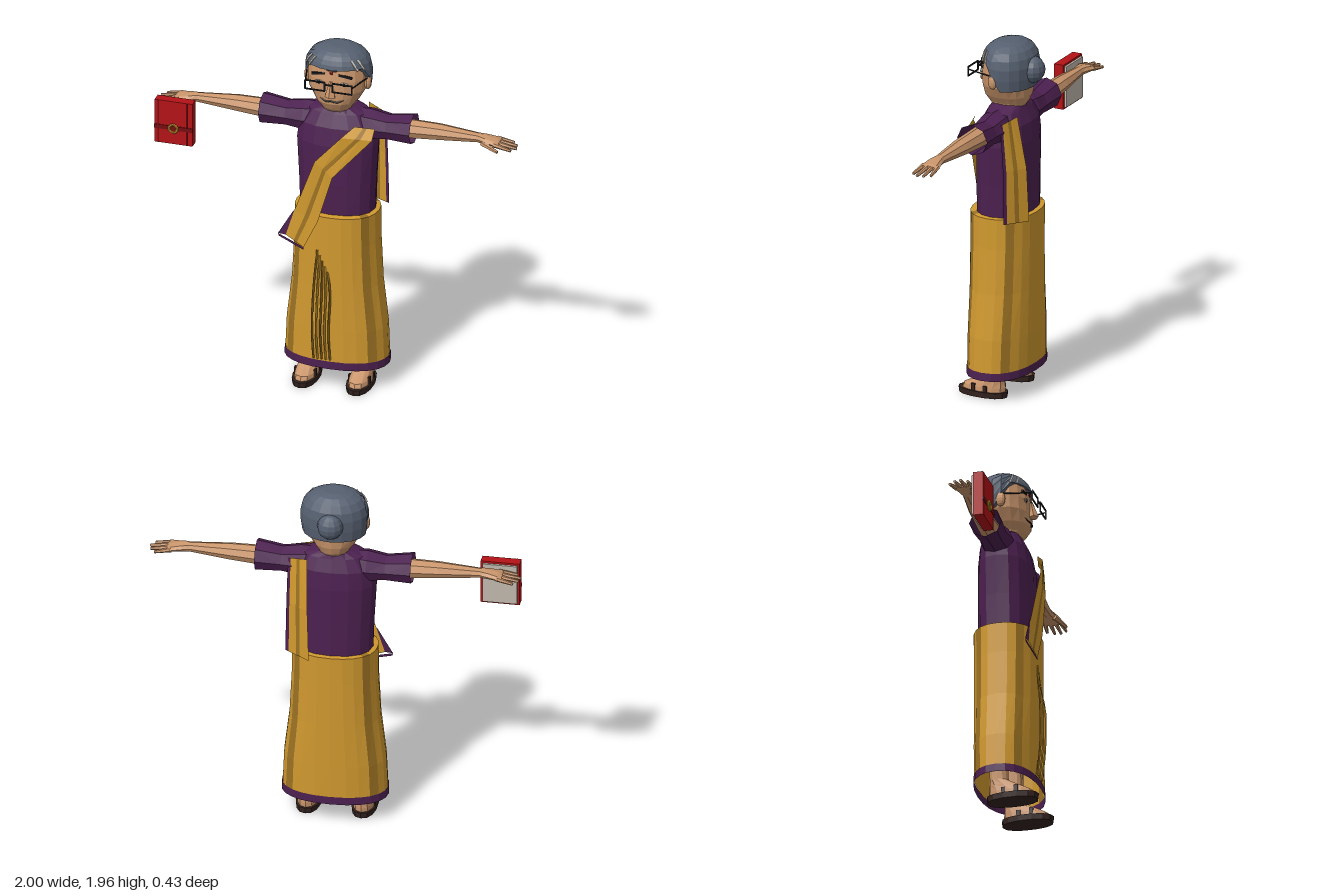
import * as THREE from 'three';

const mat = (name, color, side = THREE.FrontSide) => {
  const m = new THREE.MeshStandardMaterial({ color, flatShading: true, side });
  m.name = name;
  return m;
};
const V = (x, y, z) => new THREE.Vector3(x, y, z);

export function createModel() {
  const D = THREE.DoubleSide;
  const skin = mat('skin', 0xc9956b);
  const purple = mat('purple cloth', 0x4c2050, D);
  const gold = mat('gold cloth', 0xd0992f, D);
  const darkGold = mat('dark gold stripe', 0x9c7223, D);
  const grey = mat('grey hair', 0x566070);
  const red = mat('book red', 0xb41216);
  const darkRed = mat('dark red', 0x760c10);
  const pale = mat('pages', 0xc0b8ac);
  const brown = mat('sandal brown', 0x33231f);
  const black = mat('black', 0x1b1a1f);

  const model = new THREE.Group();
  model.name = 'woman';
  const add = (name, geo, material) => {
    const mesh = new THREE.Mesh(geo, material);
    mesh.name = name;
    model.add(mesh);
    return mesh;
  };
  // Adds an indexed geometry and its mirror image across x = 0
  const pair = (name, geo, material) => {
    add(name + 'Left', geo, material);
    const g = geo.clone().scale(-1, 1, 1), ix = g.index.array;
    for (let i = 0; i < ix.length; i += 3) [ix[i], ix[i + 1]] = [ix[i + 1], ix[i]];
    add(name + 'Right', g, material);
  };

  // Skins rings placed by a rule; keep() picks columns, caps close the ends
  const loft = (rows, place, n, caps = true, keep = () => true) => {
    const pos = [], idx = [];
    rows.forEach(r => {
      for (let j = 0; j < n; j++) pos.push(...place(r, (j / n) * Math.PI * 2).toArray());
    });
    for (let i = 0; i < rows.length - 1; i++)
      for (let j = 0; j < n; j++) {
        if (!keep(j)) continue;
        const k = (j + 1) % n, a = i * n + j, b = i * n + k;
        idx.push(a, b, b + n, a, b + n, a + n);
      }
    const last = (rows.length - 1) * n;
    if (caps)
      for (let j = 1; j < n - 1; j++) idx.push(0, j + 1, j, last, last + j, last + j + 1);
    const g = new THREE.BufferGeometry();
    g.setAttribute('position', new THREE.Float32BufferAttribute(pos, 3));
    g.setIndex(idx);
    g.computeVertexNormals();
    return g;
  };
  const bulge = (v, p = 0.88) => Math.sign(v) * Math.abs(v) ** p;
  // Upright ring [y, rx, zFront, zBack, centreX] and sideways ring [x, cy, ry, cz, rz]
  const upright = ([y, rx, zf, zb, cx = 0], a) =>
    V(cx + rx * bulge(Math.sin(a)), y, (zf + zb) / 2 + ((zf - zb) / 2) * bulge(Math.cos(a)));
  const sideways = ([x, cy, ry, cz, rz], a) => V(x, cy + ry * Math.cos(a), cz + rz * Math.sin(a));
  const box = (w, h, d, x, y, z, rz = 0) => new THREE.BoxGeometry(w, h, d).rotateZ(rz).translate(x, y, z);
  const tube = (pts, r, sides = 5) =>
    new THREE.TubeGeometry(new THREE.CatmullRomCurve3(pts.map(p => V(...p))), 8, r, sides);
  const ball = (rx, ry, rz, x, y, z) => new THREE.SphereGeometry(1, 12, 8).scale(rx, ry, rz).translate(x, y, z);
  const limb = (a, b, r1, r2) => {
    const d = V(...b).sub(V(...a)), len = d.length();
    const q = new THREE.Quaternion().setFromUnitVectors(V(0, 1, 0), d.normalize());
    return new THREE.CylinderGeometry(r2, r1, len, 6).translate(0, len / 2, 0).applyQuaternion(q).translate(...a);
  };

  // Skirt with vertical stripes and a purple hem
  const skirt = [[0.165, 0.283, 0.18, -0.165], [0.35, 0.275, 0.18, -0.168], [0.6, 0.245, 0.18, -0.17],
    [0.85, 0.232, 0.18, -0.173], [1.02, 0.23, 0.18, -0.175], [1.025, 0.19, 0.13, -0.13]];
  const striped = j => [3, 8, 15, 20].includes(j);
  add('skirt', loft(skirt, upright, 24, false, j => !striped(j)), gold);
  add('skirtStripes', loft(skirt, upright, 24, false, striped), darkGold);
  add('skirtHem', loft([[0.125, 0.288, 0.183, -0.168], [0.17, 0.286, 0.183, -0.168]], upright, 24, false), purple);
  for (let i = 0; i < 5; i++) {
    const x = -0.075 + i * 0.023;
    add('pleat', tube([[x - 0.005, 0.18, 0.182], [x - 0.008, 0.35, 0.2], [x, 0.6, 0.197],
      [x * 0.6 - 0.015, 0.82 - i * 0.03, 0.178]], 0.006, 4), i % 2 ? gold : darkGold);
  }

  // Blouse and sleeves
  add('blouse', loft([[1.0, 0.205, 0.145, -0.15], [1.2, 0.212, 0.145, -0.15], [1.42, 0.225, 0.14, -0.148],
    [1.52, 0.215, 0.12, -0.138], [1.59, 0.165, 0.085, -0.11], [1.62, 0.09, 0.07, -0.1]], upright, 16), purple);
  pair('sleeve', loft([[0.08, 1.535, 0.07, -0.01, 0.08], [0.18, 1.52, 0.086, -0.01, 0.09],
    [0.28, 1.517, 0.07, -0.01, 0.078], [0.42, 1.525, 0.085, -0.008, 0.09]], sideways, 8, false), purple);

  // Arms and hands
  pair('arm', loft([[0.3, 1.52, 0.055, -0.01, 0.06], [0.42, 1.523, 0.052, -0.01, 0.055],
    [0.56, 1.528, 0.045, -0.01, 0.05], [0.78, 1.53, 0.026, -0.005, 0.03], [0.82, 1.528, 0.024, -0.002, 0.042],
    [0.88, 1.522, 0.018, -0.002, 0.054], [0.9, 1.52, 0.012, -0.002, 0.05]], sideways, 8), skin);
  for (let i = 0; i < 4; i++) {
    const z = -0.042 + i * 0.027, tip = [0.965, 0.99, 0.997, 0.975][i];
    pair('finger', limb([0.875, 1.522, z], [tip, 1.505, z * 1.25], 0.014, 0.008), skin);
  }
  pair('thumb', limb([0.81, 1.518, 0.03], [0.905, 1.495, 0.068], 0.017, 0.009), skin);

  // Ribbon of cloth between two edges, from t0 to t1 across its width
  const ribbon = (rows, t0, t1, lift = 0) => {
    const pos = [], idx = [];
    rows.forEach(([a, b], i) => {
      [t0, t1].forEach(t => pos.push(...V(...a).lerp(V(...b), t).add(V(0, 0, lift)).toArray()));
      if (i) idx.push(2 * i - 2, 2 * i, 2 * i + 1, 2 * i - 2, 2 * i + 1, 2 * i - 1);
    });
    const g = new THREE.BufferGeometry();
    g.setAttribute('position', new THREE.Float32BufferAttribute(pos, 3));
    g.setIndex(idx);
    g.computeVertexNormals();
    return g;
  };
  const sash = [[[0.13, 1.555, 0.125], [0.235, 1.545, 0.1]], [[0.07, 1.5, 0.17], [0.23, 1.49, 0.135]],
    [[-0.07, 1.35, 0.195], [0.03, 1.27, 0.198]], [[-0.19, 1.03, 0.175], [-0.05, 1.0, 0.203]],
    [[-0.235, 0.885, 0.178], [-0.13, 0.835, 0.198]]];
  const backDrape = [[[0.24, 1.56, -0.08], [0.13, 1.585, -0.125]], [[0.245, 1.3, -0.1], [0.12, 1.3, -0.175]],
    [[0.25, 1.01, -0.105], [0.11, 1.0, -0.185]]];
  add('sashUpper', ribbon(sash, 0, 0.45), gold);
  add('sashStripe', ribbon(sash, 0.45, 0.62), darkGold);
  add('sashLower', ribbon(sash, 0.62, 1), gold);
  add('sashBorder', ribbon([[[-0.195, 1.03, 0.172], [-0.19, 1.03, 0.175]],
    [[-0.28, 0.885, 0.172], [-0.235, 0.885, 0.178]]], 0, 1), purple);
  add('sashEnd', ribbon([[[-0.28, 0.885, 0.172], [-0.13, 0.835, 0.198]],
    [[-0.277, 0.87, 0.172], [-0.13, 0.82, 0.198]]], 0, 1), purple);
  add('backDrapeBorder', ribbon(backDrape, 0, 0.14), purple);
  add('backDrapeOuter', ribbon(backDrape, 0.14, 0.45), gold);
  add('backDrapeStripe', ribbon(backDrape, 0.45, 0.62), darkGold);
  add('backDrapeInner', ribbon(backDrape, 0.62, 1), gold);

  // Head, ears and nose
  add('head', loft([[1.58, 0.08, 0.055, -0.085], [1.625, 0.088, 0.1, -0.115], [1.665, 0.118, 0.122, -0.13],
    [1.73, 0.155, 0.126, -0.138], [1.8, 0.165, 0.124, -0.138], [1.87, 0.16, 0.112, -0.13],
    [1.9, 0.13, 0.085, -0.11]], upright, 16), skin);
  pair('ear', ball(0.02, 0.042, 0.026, 0.166, 1.77, 0.005), skin);
  add('nose', new THREE.CylinderGeometry(0.01, 0.03, 0.085, 5).rotateX(-0.15).translate(0, 1.76, 0.132), skin);

  // Hair: a cap whose lower edge drops from the forehead to the nape
  const hairAt = (y, a) => {
    const u = (y - 1.82) / 0.145;
    const r = u > 0 ? Math.max(0.05, 1 - u ** 2.6) ** (1 / 2.6) : 1 - 0.12 * u * u;
    return V(0.183 * r * Math.sin(a), y, -0.015 + 0.148 * r * Math.cos(a));
  };
  const hairline = a => 1.72 + 0.15 * THREE.MathUtils.smoothstep(Math.cos(a), -0.15, 0.45);
  add('hair', loft([0, 0.25, 0.5, 0.7, 0.85, 0.95, 1], (f, a) =>
    hairAt(THREE.MathUtils.lerp(hairline(a), 1.963, f), a), 18), grey);
  add('bun', ball(0.07, 0.072, 0.062, 0, 1.815, -0.152), grey);
  [0.85, 1.1].forEach(a => pair('paleStreak',
    tube([1.865, 1.89, 1.92].map((y, i) => hairAt(y, a - i * 0.08).toArray()), 0.007, 4), pale));

  // Face details
  pair('eyeWhite', ball(0.025, 0.011, 0.006, 0.07, 1.79, 0.117), pale);
  pair('pupil', ball(0.01, 0.01, 0.006, 0.07, 1.79, 0.121), black);
  pair('eyebrow', box(0.075, 0.012, 0.009, 0.075, 1.835, 0.11, -0.12), black);
  add('foreheadDot', ball(0.01, 0.01, 0.005, 0, 1.85, 0.118), darkRed);
  add('mouth', tube([[-0.065, 1.695, 0.108], [-0.03, 1.682, 0.124], [0, 1.688, 0.127],
    [0.03, 1.682, 0.124], [0.065, 1.695, 0.108]], 0.005, 4), black);

  // Glasses
  [1.766, 1.816].forEach(y => pair('glassesRim', box(0.112, 0.007, 0.007, 0.076, y, 0.17), black));
  [0.022, 0.13].forEach(x => pair('glassesSide', box(0.007, 0.05, 0.007, x, 1.791, 0.17), black));
  add('glassesBridge', box(0.044, 0.007, 0.007, 0, 1.803, 0.17), black);
  pair('glassesArm', limb([0.13, 1.803, 0.17], [0.17, 1.8, 0.01], 0.004, 0.004), black);

  // Legs, feet and sandals
  pair('foot', loft([[0.025, 0.06, 0.195, -0.062, 0.15], [0.055, 0.058, 0.18, -0.064, 0.15],
    [0.09, 0.052, 0.11, -0.06, 0.15], [0.125, 0.046, 0.045, -0.058, 0.15],
    [0.32, 0.05, 0.04, -0.06, 0.15]], upright, 12), skin);
  pair('sandalSole', loft([[0, 0.066, 0.208, -0.072, 0.15], [0.032, 0.07, 0.212, -0.075, 0.15]],
    upright, 14), brown);
  [[0.1, 0.096], [0.03, 0.085]].forEach(([z, h]) => [0.095, 0.205].forEach(x =>
    pair('sandalStrap', box(0.012, 0.045, 0.022, x, h * 0.5, z), brown)));

  // Book with a strap, a clasp ring and pages at the back
  add('bookCover', box(0.21, 0.25, 0.055, -0.873, 1.428, 0.107), red);
  add('bookPages', box(0.185, 0.228, 0.014, -0.873, 1.428, 0.074), pale);
  add('bookStrap', box(0.212, 0.024, 0.008, -0.873, 1.397, 0.134), darkRed);
  [-0.957, -0.8].forEach(x => add('bookGroove', box(0.007, 0.25, 0.004, x, 1.428, 0.134), darkRed));
  add('bookClasp', new THREE.TorusGeometry(0.023, 0.007, 6, 14).translate(-0.873, 1.397, 0.142), gold);
  return model;
}
